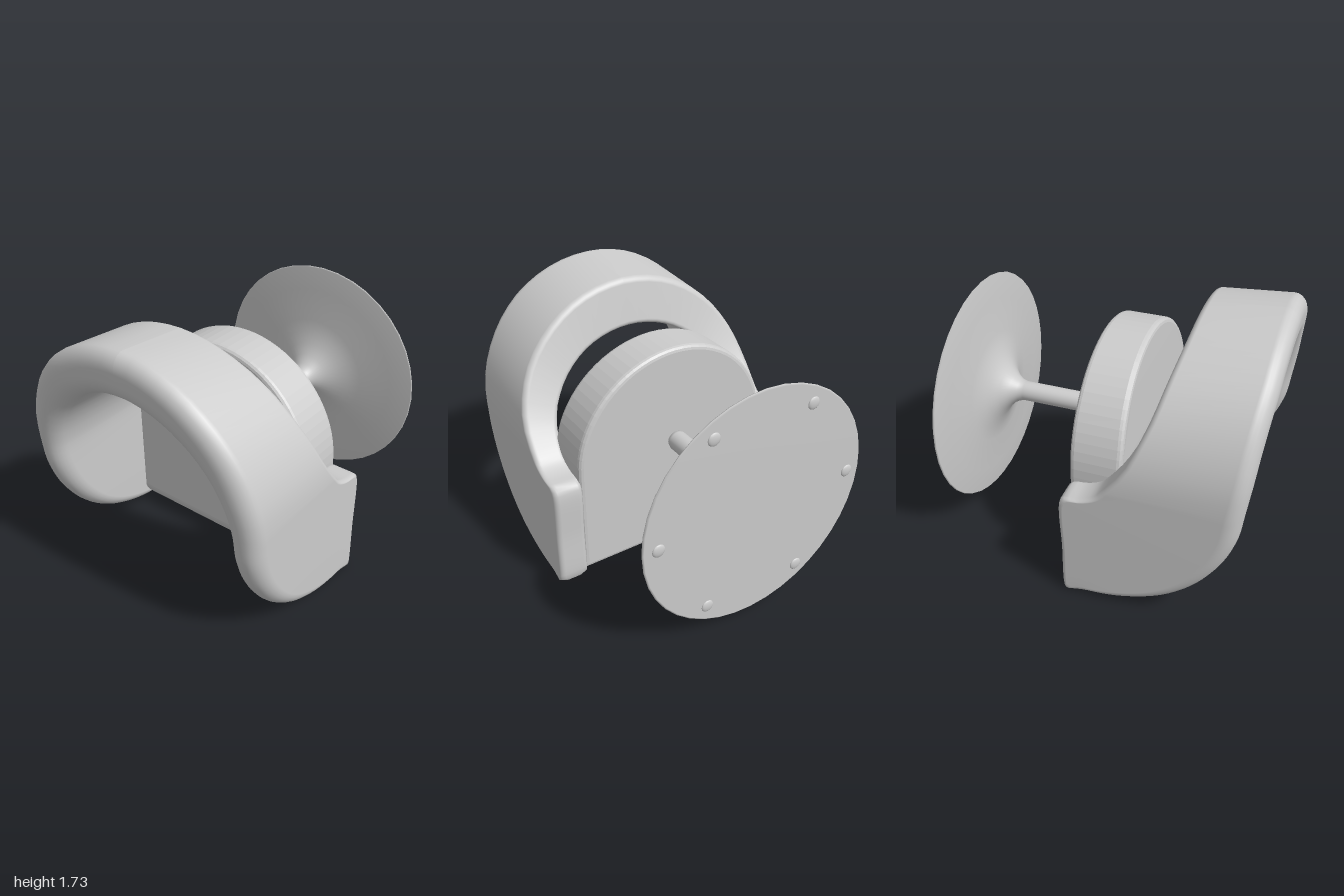
import * as THREE from 'three';

const grey = new THREE.MeshStandardMaterial({ color: 0xcccccc, side: THREE.DoubleSide });
const curve = pts => new THREE.CatmullRomCurve3(pts.map(([z, y]) => new THREE.Vector3(0, y, z)), false, 'centripetal');

// Side profile of the hood as [z, y]: the arm edges below, the arch edges above
const armBack = curve([[-0.13, 0.01], [-0.142, 0.04], [-0.142, 0.35], [-0.142, 0.7], [-0.12, 0.738], [-0.02, 0.755], [0.07, 0.795], [0.14, 0.87]]);
const armFront = curve([[-0.13, 0.01], [-0.1, 0.003], [0.14, 0.007], [0.33, 0.048], [0.52, 0.134], [0.68, 0.267], [0.813, 0.455], [0.893, 0.658], [0.923, 0.87]]);
const archBack = [[0.14, 0.87], [0.19, 0.94], [0.25, 1.04], [0.32, 1.21], [0.37, 1.35], [0.41, 1.52], [0.445, 1.66], [0.46, 1.76]];
const archFront = [[0.923, 0.87], [0.945, 1.05], [0.963, 1.257], [0.998, 1.55], [1.0, 1.76]];

function zAt(pts, y) {
  let i = 0;
  while (i < pts.length - 2 && y > pts[i + 1][1]) i++;
  const [z0, y0] = pts[i], [z1, y1] = pts[i + 1];
  return z0 + (z1 - z0) * (y - y0) / (y1 - y0);
}

const OUT = { r: 0.855, c: 0.87 }, INN = { r: 0.66, c: 0.77 };
const halfWidth = (o, y) => y > o.c ? Math.sqrt(o.r ** 2 - (y - o.c) ** 2) : o.r;

// Four corners of each cross-section: inner back, inner front, outer front, outer back
function hoodStations() {
  const list = [], nArm = 32, nArch = 14;
  for (let i = 0; i < nArm; i++) {
    const b = armBack.getPointAt(i / nArm), f = armFront.getPointAt(i / nArm);
    const inset = i === 0 ? 0.05 : 0;
    const at = (o, p, d) => new THREE.Vector3(halfWidth(o, p.y) + d, p.y, p.z);
    list.push([at(INN, b, inset), at(INN, f, inset), at(OUT, f, -inset), at(OUT, b, -inset)]);
  }
  for (let i = 0; i <= nArch; i++) {
    const t = i / nArch, a0 = Math.asin((OUT.c - INN.c) / INN.r);
    const at = (o, a, edge) => {
      const y = o.c + o.r * Math.sin(a), z = zAt(edge, y);
      const lift = 0.09 * Math.sin(t * Math.PI / 2) * (z - 0.9);
      return new THREE.Vector3(o.r * Math.cos(a), y + lift, z);
    };
    const ao = t * Math.PI / 2, ai = a0 + t * (Math.PI / 2 - a0);
    list.push([at(INN, ai, archBack), at(INN, ai, archFront), at(OUT, ao, archFront), at(OUT, ao, archBack)]);
  }
  return list;
}

// Rounded cross-section, fuller on the front edge than on the back
function roundedRing([ib, inf, of, ob]) {
  const L = Math.max(ib.distanceTo(inf), 1e-4), T = ib.distanceTo(ob), n = 6, ring = [];
  for (let k = 0; k < 4; k++) {
    const front = k === 1 || k === 2, outer = k > 1;
    const ru = Math.min(front ? 0.1 : 0.035, 0.45 * L) / L;
    const rw = Math.min(front ? 0.12 : 0.035, 0.49 * T) / T;
    for (let j = 0; j <= n; j++) {
      const a = Math.PI + (k + j / n) * Math.PI / 2;
      const u = (front ? 1 - ru : ru) + ru * Math.cos(a);
      const w = (outer ? 1 - rw : rw) + rw * Math.sin(a);
      ring.push(ib.clone().lerp(inf, u).lerp(ob.clone().lerp(of, u), w));
    }
  }
  return ring;
}

function hoodHalf(side) {
  const rings = hoodStations().map(roundedRing), m = rings[0].length;
  const pos = [], idx = [];
  rings.forEach(r => r.forEach(p => pos.push(side * p.x, p.y, p.z)));
  for (let i = 0; i < rings.length - 1; i++) for (let j = 0; j < m; j++) {
    const a = i * m + j, b = i * m + (j + 1) % m, c = a + m, d = b + m;
    if (side > 0) idx.push(a, b, c, b, d, c);
    else idx.push(a, c, b, b, c, d);
  }
  const g = new THREE.BufferGeometry();
  g.setAttribute('position', new THREE.Float32BufferAttribute(pos, 3));
  g.setIndex(idx);
  g.computeVertexNormals();
  return g;
}

// Arched slab between the arms, thinner at the top and sloped under its front edge
function panelGeometry() {
  const bevel = 0.03, w = 0.68 - bevel, s = new THREE.Shape();
  s.moveTo(-w, 0.05 + bevel);
  s.lineTo(w, 0.05 + bevel);
  s.lineTo(w, 0.77);
  s.absarc(0, 0.77, w, 0, Math.PI, false);
  s.closePath();
  const g = new THREE.ExtrudeGeometry(s, {
    depth: 0.32 - 2 * bevel, bevelSize: bevel, bevelThickness: bevel, bevelSegments: 3, curveSegments: 18
  });
  g.translate(0, 0, -0.14 + bevel);
  const p = g.attributes.position;
  for (let i = 0; i < p.count; i++) {
    const y = p.getY(i), z = p.getZ(i);
    if (z > 0.1 && y > 1) p.setZ(i, z - (y - 1) * 0.05);
    if (z > 0.13 && y < 0.2) p.setY(i, y + (z - 0.13) * 1.4);
  }
  g.computeVertexNormals();
  return g;
}

export function createModel() {
  const model = new THREE.Group();
  const add = (name, geometry, parent = model) => {
    const mesh = new THREE.Mesh(geometry, grey);
    mesh.name = name;
    parent.add(mesh);
    return mesh;
  };

  const hood = new THREE.Group();
  hood.name = 'hood';
  model.add(hood);
  add('hoodLeft', hoodHalf(1), hood);
  add('hoodRight', hoodHalf(-1), hood);

  add('backPanel', panelGeometry());

  // Mounting disc flaring into the stem, turned about the z axis
  const profile = [[0, -0.987], [0.75, -0.987], [0.76, -0.98], [0.755, -0.97], [0.6, -0.957], [0.38, -0.935], [0.3, -0.92],
    [0.22, -0.893], [0.15, -0.855], [0.1, -0.81], [0.075, -0.77], [0.065, -0.73], [0.065, -0.18], [0.058, -0.155], [0.04, -0.142], [0, -0.142]];
  const mount = add('mountingDiscAndStem', new THREE.LatheGeometry(profile.map(([r, z]) => new THREE.Vector2(r, z)), 40).rotateX(Math.PI / 2));
  mount.position.y = 0.82;

  // Six small studs on the back of the disc
  for (let i = 0; i < 6; i++) {
    const a = i * Math.PI / 3;
    const stud = add('stud' + (i + 1), new THREE.SphereGeometry(0.04, 14, 10).scale(1, 1, 0.32));
    stud.position.set(0.66 * Math.cos(a), 0.82 + 0.66 * Math.sin(a), -0.987);
  }
  return model;
}
